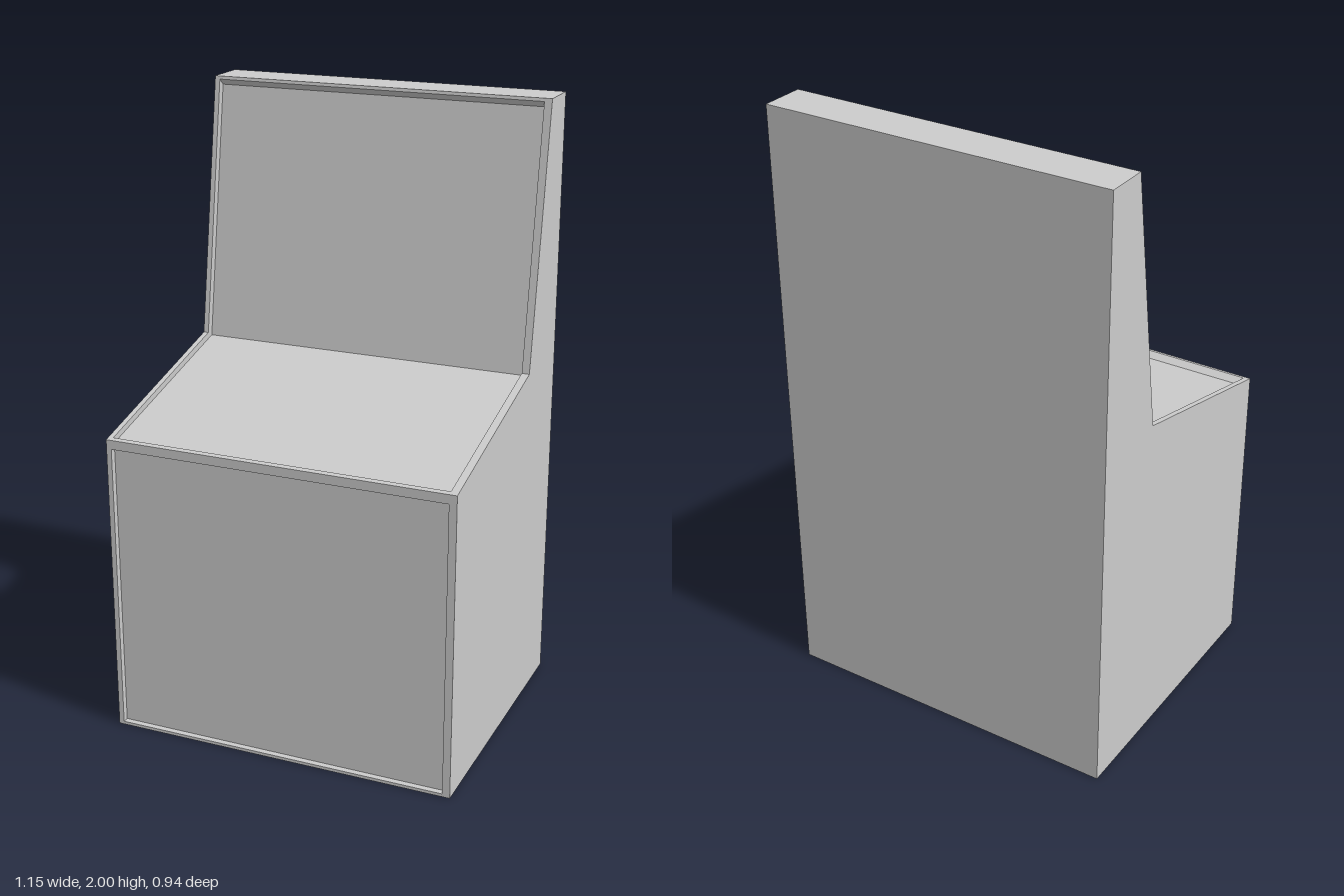
import * as THREE from 'three';

const material = new THREE.MeshStandardMaterial({ color: 0xcccccc, flatShading: true });

// Extrude a (z, y) profile across the width from x0 to x1
function slab(name, profile, x0, x1) {
  const shape = new THREE.Shape(profile.map(([z, y]) => new THREE.Vector2(z, y)));
  const geometry = new THREE.ExtrudeGeometry(shape, { depth: x1 - x0, bevelEnabled: false });
  geometry.rotateY(-Math.PI / 2).translate(x1, 0, 0);
  const mesh = new THREE.Mesh(geometry, material);
  mesh.name = name;
  return mesh;
}

export function createModel() {
  const group = new THREE.Group();
  group.name = 'cabinet';

  // Full silhouette of the side panels
  const side = [
    [0.47, 0], [0.47, 0.995], [-0.195, 1.155], [-0.325, 2], [-0.47, 2], [-0.47, 0],
  ];

  // Body between the sides, with recessed front, sloping deck and upright
  const body = [
    [0.47, 0], [0.47, 0.01], [0.45, 0.01], [0.45, 0.965], // front panel
    [0.47, 0.965], [0.47, 0.995], [0.455, 0.999], // front lip
    [0.43, 0.985], [-0.22, 1.14], // sloping deck
    [-0.346, 1.97], [-0.323, 1.99], [-0.325, 2], // upright and top lip
    [-0.47, 2], [-0.47, 0],
  ];

  group.add(
    slab('rightSidePanel', side, -0.575, -0.558),
    slab('body', body, -0.558, 0.55),
    slab('leftSidePanel', side, 0.55, 0.575),
  );
  return group;
}
